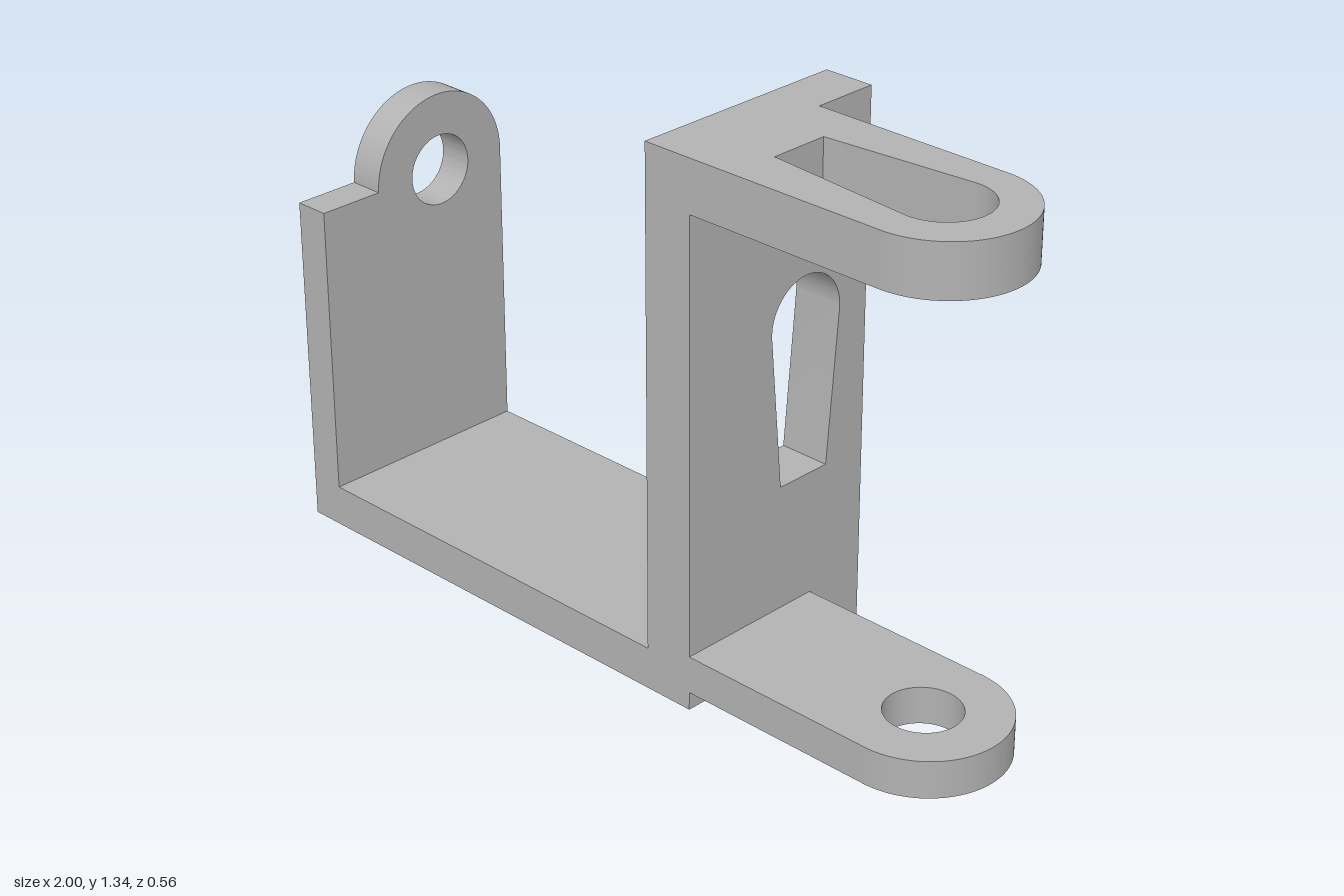
import * as THREE from 'three';
import { toCreasedNormals } from 'three/addons/utils/BufferGeometryUtils.js';

const HALF_DEPTH = 0.282;
const HOLE_R = 0.09;

// Round hole
function roundHole(x, y) {
  return new THREE.Path().absarc(x, y, HOLE_R, 0, Math.PI * 2, true);
}

// Tapered slot: round end at (0, 0), narrow flat end at distance 0.39 along -y,
// turned by the given angle and moved to (x, y)
function taperedSlot(x, y, turn) {
  const r = 0.11, half = 0.075, length = 0.388, lean = 0.091;
  const pts = [[-half, -length], [half, -length]];
  const steps = 40;
  for (let i = 0; i <= steps; i++) {
    const a = -lean + (Math.PI + 2 * lean) * i / steps;
    pts.push([r * Math.cos(a), r * Math.sin(a)]);
  }
  const c = Math.cos(turn), s = Math.sin(turn);
  return new THREE.Path(pts.map(([u, v]) => new THREE.Vector2(x + u * c - v * s, y + u * s + v * c)));
}

function extrude(shape, depth) {
  return new THREE.ExtrudeGeometry(shape, { depth, bevelEnabled: false, curveSegments: 40 });
}

export function createModel() {
  const group = new THREE.Group();
  const grey = new THREE.MeshStandardMaterial({ color: 0xb2b2b2 });
  grey.name = 'grey';

  function add(name, geometry) {
    const mesh = new THREE.Mesh(toCreasedNormals(geometry, 0.4), grey);
    mesh.name = name;
    group.add(mesh);
  }

  // Upright plate drawn in (z, y), from x0 to x1
  function addUpright(name, shape, x0, x1) {
    add(name, extrude(shape, x1 - x0).rotateY(-Math.PI / 2).translate(x1, 0, 0));
  }

  // Horizontal arm with a rounded tip, drawn in (x, z), from y0 to y1
  const armX = 0.803, armZ = 0.083, armR = 0.197;
  function addArm(name, hole, y0, y1) {
    const shape = new THREE.Shape();
    shape.moveTo(0.29, armZ - armR);
    shape.lineTo(armX, armZ - armR);
    shape.absarc(armX, armZ, armR, -Math.PI / 2, Math.PI / 2, false);
    shape.lineTo(0.29, HALF_DEPTH);
    shape.closePath();
    shape.holes.push(hole);
    add(name, extrude(shape, y1 - y0).rotateX(Math.PI / 2).translate(0, y1, 0));
  }

  // Base plate between the two uprights
  add('basePlate', new THREE.BoxGeometry(1.07, 0.105, HALF_DEPTH * 2).translate(-0.375, 0.0525, 0));

  // Short upright with a rounded ear and a shoulder
  const pivotZ = -0.085, pivotY = 0.84, earR = 0.197;
  const ear = new THREE.Shape();
  ear.moveTo(-HALF_DEPTH, 0);
  ear.lineTo(HALF_DEPTH, 0);
  ear.lineTo(HALF_DEPTH, pivotY);
  ear.lineTo(pivotZ + earR, pivotY);
  ear.absarc(pivotZ, pivotY, earR, 0, Math.PI, false);
  ear.closePath();
  ear.holes.push(roundHole(pivotZ, pivotY));
  addUpright('earPlate', ear, -1, -0.91);

  // Tall upright with a tapered slot
  const column = new THREE.Shape();
  column.moveTo(-HALF_DEPTH, 0);
  column.lineTo(HALF_DEPTH, 0);
  column.lineTo(HALF_DEPTH, 1.337);
  column.lineTo(-HALF_DEPTH, 1.337);
  column.closePath();
  column.holes.push(taperedSlot(pivotZ, pivotY, 0));
  addUpright('columnPlate', column, 0.16, 0.29);

  // Upper arm with the slot pointing back to the column, lower arm with a round hole
  addArm('upperArm', taperedSlot(armX - 0.005, armZ - 0.002, -Math.PI / 2), 1.21, 1.337);
  addArm('lowerArm', roundHole(armX - 0.003, armZ), 0.045, 0.138);

  return group;
}
